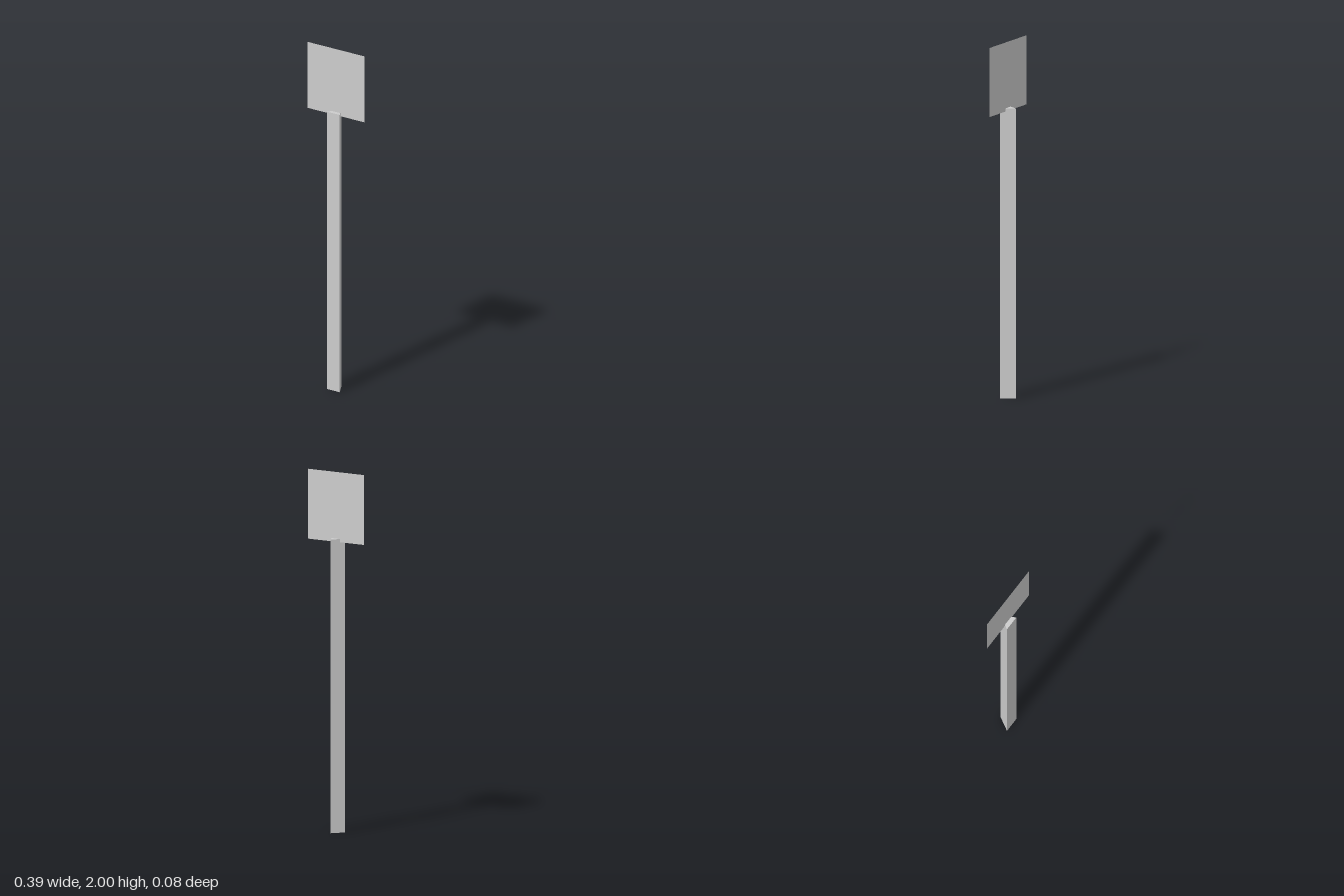
import * as THREE from 'three';

export function createModel() {
  const group = new THREE.Group();
  const grey = new THREE.MeshStandardMaterial({ color: 0xcccccc });
  grey.name = 'light grey';
  const panelGrey = grey.clone();
  panelGrey.side = THREE.DoubleSide;

  const radius = 0.05, postHeight = 1.63, panelSize = 0.388;
  const axisZ = radius / 4; // centres the triangular section on z = 0

  // Triangular post: flat side to the front, one edge to the back
  const section = new THREE.Shape();
  for (let i = 0; i < 3; i++) {
    const a = Math.PI / 2 + (i * Math.PI * 2) / 3;
    section[i ? 'lineTo' : 'moveTo'](radius * Math.cos(a), radius * Math.sin(a));
  }
  section.closePath();
  const postGeometry = new THREE.ExtrudeGeometry(section, { depth: postHeight, bevelEnabled: false });
  postGeometry.rotateX(-Math.PI / 2);
  const post = new THREE.Mesh(postGeometry, grey);
  post.name = 'post';
  post.position.z = axisZ;
  group.add(post);

  // Flat square sign panel, set into the top of the post
  const panel = new THREE.Mesh(new THREE.PlaneGeometry(panelSize, panelSize), panelGrey);
  panel.name = 'signPanel';
  panel.position.set(0, 2 - panelSize / 2, axisZ);
  group.add(panel);

  return group;
}
